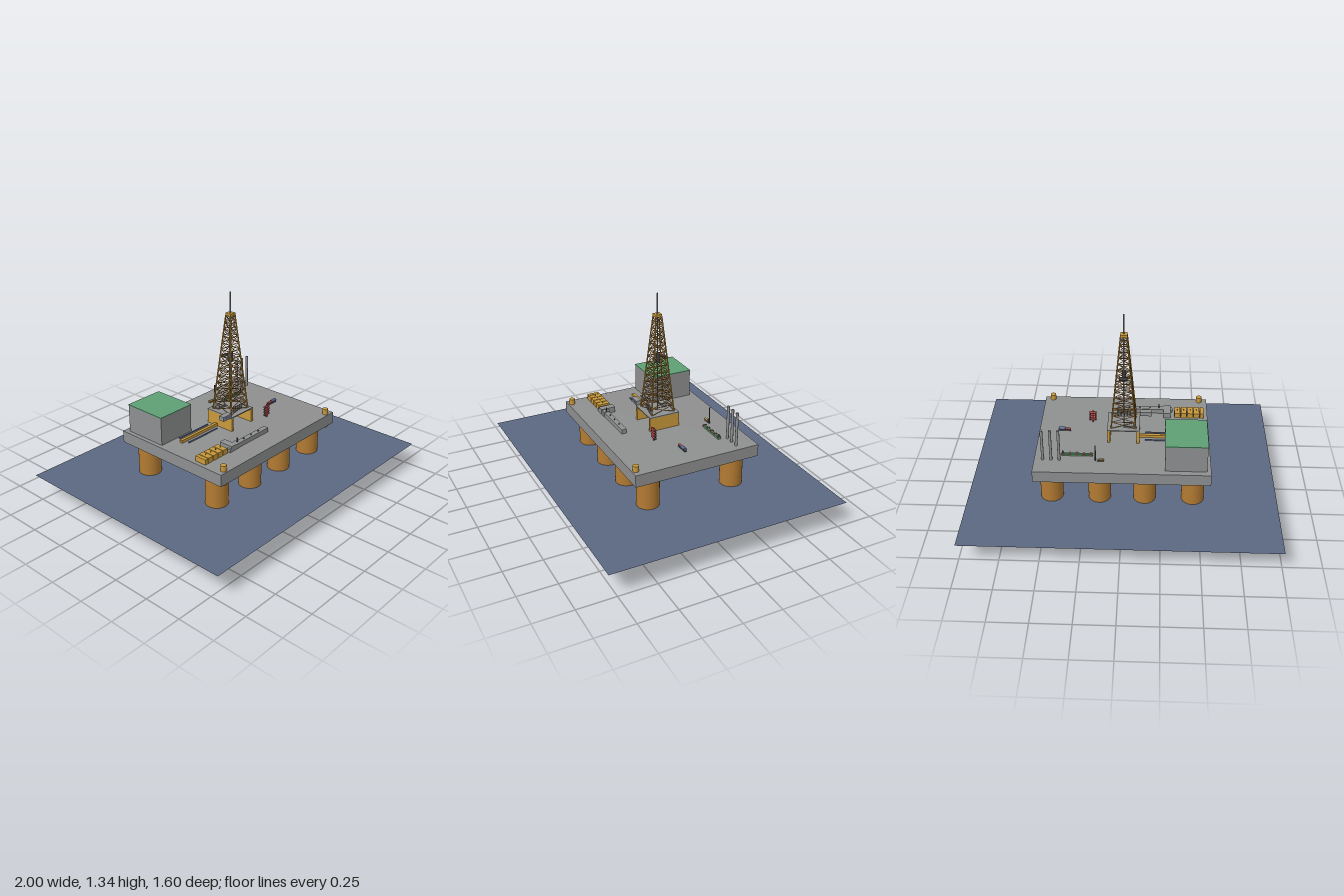
import * as THREE from 'three';

const mat = (name, color, side = THREE.FrontSide) => {
  const m = new THREE.MeshStandardMaterial({ color, side });
  m.name = name;
  return m;
};

export function createModel() {
  const root = new THREE.Group();
  root.name = 'offshoreDrillingRig';
  const yellow = mat('hull yellow', 0xc8993a);
  const amber = mat('column amber', 0xb37b32);
  const grey = mat('deck grey', 0x8e8f90);
  const green = mat('helideck green', 0x5f9f74);
  const sea = mat('sea blue', 0x5b6782, THREE.DoubleSide);
  const red = mat('valve red', 0xb03c3c);
  const dark = mat('dark steel', 0x4a4d52);
  const blue = mat('pipe blue', 0x5c6a94);

  const group = (name) => {
    const g = new THREE.Group();
    g.name = name;
    root.add(g);
    return g;
  };
  const add = (parent, name, geo, material) => {
    const m = new THREE.Mesh(geo, material);
    m.name = name;
    parent.add(m);
    return m;
  };
  // Box given by its limits on each axis
  const box = (p, name, m, x0, x1, y0, y1, z0, z1) => {
    const b = add(p, name, new THREE.BoxGeometry(x1 - x0, y1 - y0, z1 - z0), m);
    b.position.set((x0 + x1) / 2, (y0 + y1) / 2, (z0 + z1) / 2);
    return b;
  };
  // Upright cylinder
  const post = (p, name, m, x, z, r, y0, y1, sides = 16) => {
    const c = add(p, name, new THREE.CylinderGeometry(r, r, y1 - y0, sides), m);
    c.position.set(x, (y0 + y1) / 2, z);
    return c;
  };
  // Round bar between two points
  const up = new THREE.Vector3(0, 1, 0);
  const strut = (p, name, m, a, b, r, sides = 6) => {
    const d = b.clone().sub(a);
    const c = add(p, name, new THREE.CylinderGeometry(r, r, d.length(), sides), m);
    c.position.copy(a).addScaledVector(d, 0.5);
    c.quaternion.setFromUnitVectors(up, d.normalize());
    return c;
  };
  const V = (x, y, z) => new THREE.Vector3(x, y, z);

  // Sea surface
  const water = add(root, 'seaSurface', new THREE.PlaneGeometry(2, 1.6), sea);
  water.rotation.x = -Math.PI / 2;
  water.position.y = 0.16;

  // Pontoons, columns and cross braces
  const hull = group('hull');
  for (const s of [-1, 1]) {
    const z = s * 0.295;
    box(hull, 'pontoon', yellow, -0.6, 0.6, 0, 0.12, z - 0.093, z + 0.093);
    for (const x of [-0.455, -0.145, 0.145, 0.455]) {
      post(hull, 'column', amber, x, z, 0.073, 0.115, 0.37, 32);
    }
    strut(hull, 'crossBrace', amber, V(s * 0.455, 0.135, -0.21), V(s * 0.455, 0.135, 0.21), 0.015, 16);
  }

  // Main deck
  box(root, 'mainDeck', grey, -0.56, 0.56, 0.365, 0.445, -0.425, 0.425);

  // Substructure under the derrick
  const sub = group('substructure');
  for (const s of [-1, 1]) {
    box(sub, 'sideWall', yellow, s * 0.095 - 0.009, s * 0.095 + 0.009, 0.03, 0.538, -0.105, 0.105);
  }
  box(sub, 'lowerBlock', yellow, -0.086, 0.086, 0.03, 0.115, -0.105, 0.105);
  box(sub, 'drillFloor', grey, -0.105, 0.105, 0.536, 0.543, -0.105, 0.105);

  // Derrick: tapering lattice tower
  const derrick = group('derrick');
  const y0 = 0.543, y1 = 1.185, bays = 14;
  const corners = [[-1, -1], [1, -1], [1, 1], [-1, 1]];
  const at = (level, k) => {
    const t = level / bays, w = 0.08 + (0.02 - 0.08) * t;
    const [cx, cz] = corners[k % 4];
    return V(cx * w, y0 + (y1 - y0) * t, cz * w);
  };
  for (let k = 0; k < 4; k++) {
    strut(derrick, 'derrickLeg', yellow, at(0, k), at(bays, k), 0.005);
    for (let i = 0; i < bays; i++) {
      if (i > 0) strut(derrick, 'girt', amber, at(i, k), at(i, k + 1), 0.0025, 5);
      strut(derrick, 'diagonal', amber, at(i, k), at(i + 1, k + 1), 0.002, 5);
      strut(derrick, 'diagonal', amber, at(i, k + 1), at(i + 1, k), 0.002, 5);
    }
  }
  box(derrick, 'crownBlock', yellow, -0.022, 0.022, 1.183, 1.2, -0.022, 0.022);
  post(derrick, 'topMast', grey, 0, 0, 0.005, 1.2, 1.335, 8);
  post(derrick, 'drillString', grey, 0, 0, 0.004, 0.54, 1.185, 8);
  box(derrick, 'travellingBlock', dark, -0.012, 0.012, 0.87, 0.93, -0.012, 0.012);
  box(derrick, 'pipeBoard', dark, -0.03, 0.03, 0.9, 0.905, -0.065, -0.03);

  // Equipment on the drill floor
  const floor = group('drillFloorEquipment');
  box(floor, 'drillerCabin', grey, -0.18, -0.105, 0.543, 0.572, 0.065, 0.103);
  box(floor, 'cabinWindow', blue, -0.168, -0.118, 0.554, 0.566, 0.102, 0.105);
  box(floor, 'winchBase', grey, -0.07, 0.0, 0.543, 0.55, -0.07, -0.04);
  strut(floor, 'winchDrum', grey, V(-0.065, 0.56, -0.055), V(-0.005, 0.56, -0.055), 0.014, 16);
  for (let i = 0; i < 5; i++) post(floor, 'standPipe', grey, -0.04 + i * 0.02, 0.06, 0.004, 0.543, 0.58, 8);

  // Accommodation block with helideck
  const house = group('accommodation');
  box(house, 'quarters', grey, -0.533, -0.27, 0.44, 0.629, -0.388, -0.096);
  box(house, 'helideck', green, -0.535, -0.268, 0.629, 0.635, -0.39, -0.094);

  // Exhaust stacks and corner bollards
  const stacks = group('stacks');
  for (const x of [0.4, 0.452, 0.505]) post(stacks, 'stack', grey, x, -0.295, 0.009, 0.44, 0.67);
  const bollards = group('cranePedestals');
  for (const s of [-1, 1]) post(bollards, 'pedestal', yellow, s * 0.507, 0.398, 0.019, 0.35, 0.482, 24);

  // Catwalk with pipes either side
  const catwalk = group('catwalk');
  box(catwalk, 'catwalkBeam', yellow, -0.43, -0.105, 0.445, 0.464, -0.04, -0.02);
  for (const z of [-0.073, 0.01]) {
    strut(catwalk, 'drillPipe', blue, V(-0.4, 0.451, z), V(-0.142, 0.451, z), 0.005, 10);
  }

  // Mud tanks and processing line near the front edge
  const tanks = group('mudTanks');
  box(tanks, 'tankSkid', dark, -0.53, -0.335, 0.445, 0.452, 0.2, 0.272);
  box(tanks, 'endTank', yellow, -0.533, -0.509, 0.445, 0.48, 0.195, 0.275);
  for (let i = 0; i < 4; i++) {
    const x = -0.504 + i * 0.043;
    box(tanks, 'tank', yellow, x, x + 0.038, 0.445, 0.48, 0.195, 0.275);
    post(tanks, 'tankVent', dark, x + 0.019, 0.235, 0.002, 0.48, 0.49, 6);
  }
  const line = group('processLine');
  box(line, 'pumpHouse', grey, -0.308, -0.262, 0.445, 0.482, 0.187, 0.285);
  box(line, 'pumpLink', grey, -0.322, -0.3, 0.445, 0.465, 0.255, 0.285);
  box(line, 'motorHousing', grey, -0.262, -0.225, 0.445, 0.478, 0.242, 0.283);
  box(line, 'conveyor', grey, -0.225, 0.05, 0.445, 0.475, 0.246, 0.28);
  post(line, 'vent', dark, -0.23, 0.263, 0.004, 0.475, 0.507, 8);
  for (const x of [-0.17, -0.1, -0.03]) post(line, 'hatch', dark, x, 0.263, 0.004, 0.475, 0.482, 8);

  // Wellhead valve stack with hand wheels
  const tree = group('valveStack');
  post(tree, 'valveBody', red, 0.212, 0.132, 0.006, 0.445, 0.53, 12);
  for (let i = 0; i < 4; i++) {
    const y = 0.465 + i * 0.018;
    strut(tree, 'valve', red, V(0.194, y, 0.132), V(0.23, y, 0.132), 0.008, 12);
    for (const s of [-1, 1]) {
      strut(tree, 'handWheel', dark, V(0.212 + s * 0.019, y, 0.132), V(0.212 + s * 0.023, y, 0.132), 0.008, 12);
    }
  }

  // Green manifold
  const manifold = group('manifold');
  box(manifold, 'manifoldBed', green, 0.188, 0.39, 0.445, 0.455, -0.253, -0.233);
  for (let i = 0; i < 5; i++) {
    const x = 0.2 + i * 0.045;
    box(manifold, 'manifoldClamp', red, x - 0.003, x + 0.003, 0.445, 0.463, -0.254, -0.232);
  }
  strut(manifold, 'manifoldPipe', green, V(0.19, 0.457, -0.243), V(0.39, 0.457, -0.243), 0.005, 10);
  post(manifold, 'manifoldValve', dark, 0.38, -0.243, 0.005, 0.455, 0.475, 8);

  // Vent post with a small pump
  const vent = group('ventPost');
  post(vent, 'ventPipe', dark, 0.17, -0.295, 0.004, 0.445, 0.56, 10);
  strut(vent, 'pumpBarrel', yellow, V(0.115, 0.455, -0.297), V(0.148, 0.455, -0.297), 0.006, 10);
  box(vent, 'pumpFoot', dark, 0.115, 0.16, 0.445, 0.449, -0.304, -0.29);

  // Small motor pump at the side
  const pump = group('motorPump');
  box(pump, 'pumpBase', dark, 0.353, 0.437, 0.445, 0.45, 0.018, 0.034);
  strut(pump, 'pumpBody', red, V(0.355, 0.458, 0.026), V(0.39, 0.458, 0.026), 0.007, 12);
  strut(pump, 'motor', blue, V(0.39, 0.46, 0.026), V(0.432, 0.46, 0.026), 0.01, 12);

  return root;
}
